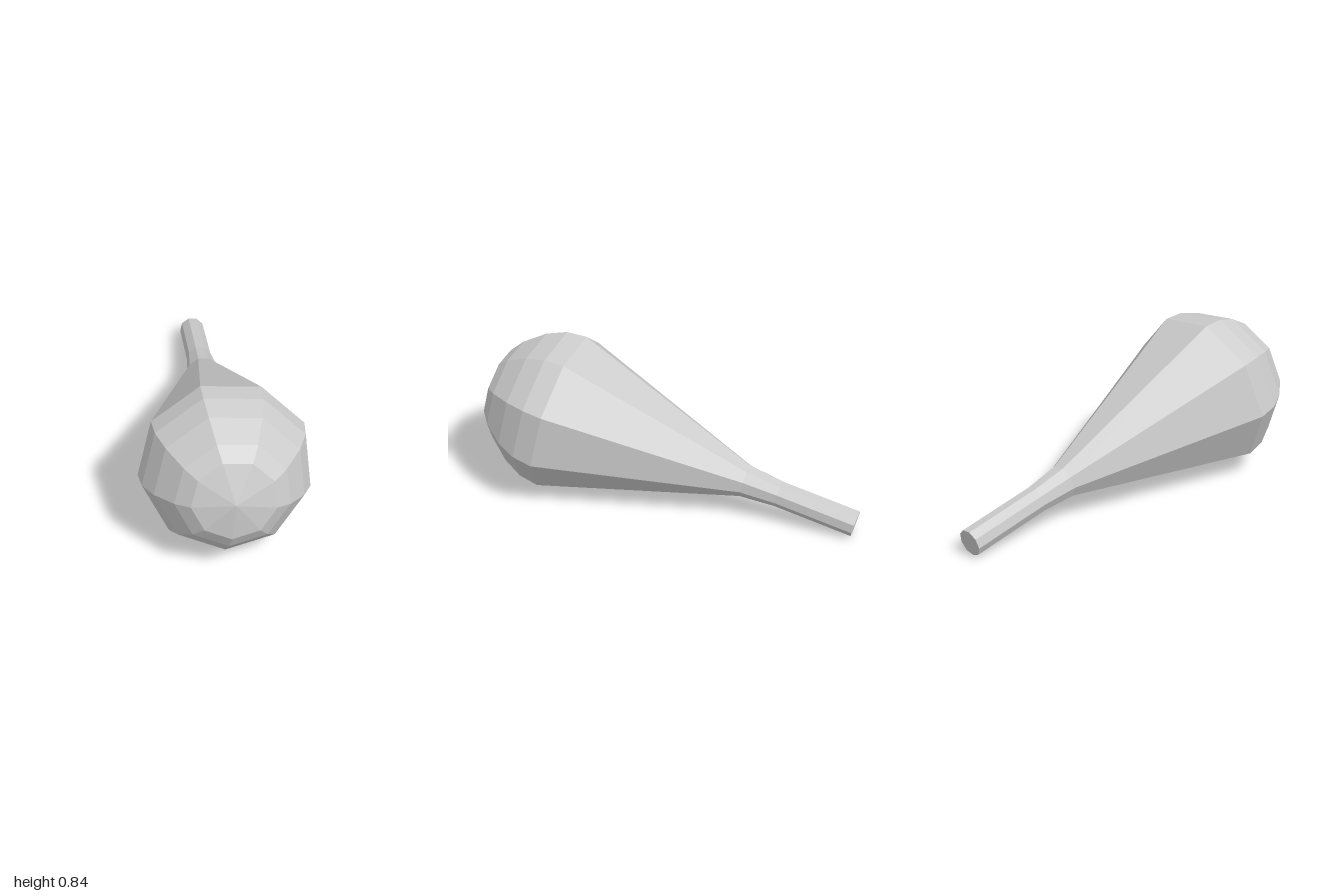
import * as THREE from 'three';

const SIDES = 9;

// Profiles as [radius, distance along the axis from the bulb's centre]
const PROFILES = {
  stem: [[0, -1.676], [0.07, -1.676], [0.07, -1.25], [0.088, -1.06]],
  taper: [[0.088, -1.06], [0.433, -0.015]],
  bulb: [[0.433, -0.015], [0.42, 0.094], [0.37, 0.202], [0.281, 0.315], [0.208, 0.372], [0, 0.42]],
};

export function createModel() {
  const group = new THREE.Group();
  group.name = 'bulbClub';
  const material = new THREE.MeshStandardMaterial({ color: 0xcccccc, flatShading: true });

  // Tilted frame: y runs along the axis, z points at one corner of the nine-sided section
  const axis = new THREE.Vector3(0.288, 0.21, 0.934).normalize();
  const corner = new THREE.Vector3(-0.035, -0.975, 0.22).projectOnPlane(axis).normalize();
  const side = new THREE.Vector3().crossVectors(axis, corner);

  const club = new THREE.Group();
  club.name = 'club';
  club.quaternion.setFromRotationMatrix(new THREE.Matrix4().makeBasis(side, axis, corner));
  club.position.set(0.065, 0.425, 0.59);
  group.add(club);

  // Stem with flat end, tapering body and rounded bulb
  for (const [name, profile] of Object.entries(PROFILES)) {
    const points = profile.map(([r, s]) => new THREE.Vector2(r, s));
    const mesh = new THREE.Mesh(new THREE.LatheGeometry(points, SIDES), material);
    mesh.name = name;
    club.add(mesh);
  }
  return group;
}
